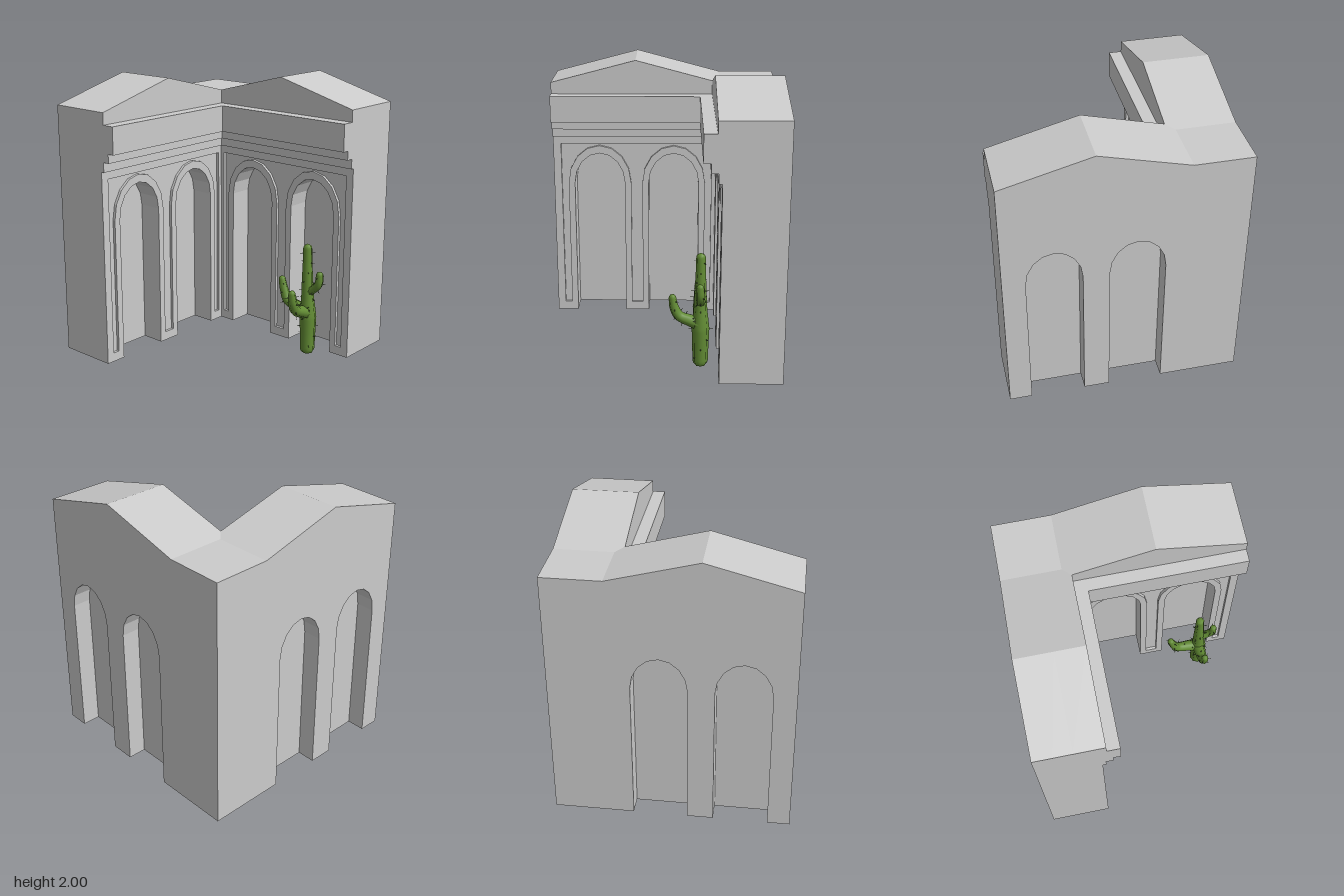
import * as THREE from 'three';
import { mergeVertices, mergeGeometries } from 'three/addons/utils/BufferGeometryUtils.js';

const END = 0.833;             // half length of the building
const ARCHES = [-0.078, 0.485]; // arch centres along a wing
const SPRING = 1.05;

const stone = new THREE.MeshStandardMaterial({ color: 0xcccccc, flatShading: true });
const green = new THREE.MeshStandardMaterial({ color: 0x628b34 });
const thorn = new THREE.MeshStandardMaterial({ color: 0x4c5a3c });

// Points of one arch, from its left foot over the crown to its right foot
function archPoints(cx, rx, ry, foot) {
  const pts = [[cx - rx, foot]];
  for (let i = 0; i <= 8; i++) {
    const a = Math.PI * (1 - i / 8);
    pts.push([cx + rx * Math.cos(a), SPRING + ry * Math.sin(a)]);
  }
  pts.push([cx + rx, foot]);
  return pts;
}

const toVectors = pts => pts.map(p => new THREE.Vector2(p[0], p[1]));
const openings = () => ARCHES.flatMap(c => archPoints(c, 0.191, 0.236, 0));

// Wall outline: bottom edge (with arches if wanted), then the top from right to left
function wallShape(u0, y0, top, arched) {
  return new THREE.Shape(toVectors([[u0, y0], ...(arched ? openings() : []), [END, y0], ...top]));
}
const flatTop = (u0, y) => [[END, y], [u0, y]];
const gableTop = [[END, 1.835], [0.205, 2], [-0.42, 1.835], [-END, 1.835]];

// Slab between depths a and b: wing 0 runs along x at the back, wing 1 runs along z at the side
function slab(shape, a, b, wing) {
  const geo = new THREE.ExtrudeGeometry(shape, { depth: b - a, bevelEnabled: false });
  if (wing === 0) return geo.translate(0, 0, a);
  return geo.translate(0, 0, -b).rotateY(-Math.PI / 2);
}

function buildWing(wing) {
  const group = new THREE.Group();
  const add = (name, shape, a, b) => {
    const mesh = new THREE.Mesh(slab(shape, a, b, wing), stone);
    mesh.name = name;
    group.add(mesh);
  };

  // Thin core with arched niches on both sides
  add('outerWall', wallShape(-END, 0, gableTop, true), -END, -0.7);
  add('coreWall', wallShape(-END, 0, gableTop, false), -0.7, -0.57);
  add('innerWall', wallShape(-END, 0, flatTop(-END, 1.75), true), -0.57, -0.415);
  add('roofEdge', wallShape(-END, 1.75, gableTop, false), -0.57, -0.36);

  // Raised facing with a sunken panel around the arch bands
  const facing = wallShape(-0.415, 0, flatTop(-0.415, 1.42), true);
  facing.holes.push(new THREE.Path(toVectors([
    [-0.365, 0.065],
    ...ARCHES.flatMap(c => archPoints(c, 0.239, 0.295, 0.065)),
    [0.775, 0.065], [0.775, 1.36], [-0.365, 1.36],
  ])));
  add('archFacing', facing, -0.415, -0.394);

  // Stepped cornice
  [[1.42, 1.49, -0.37], [1.49, 1.555, -0.32], [1.555, 1.75, -0.27]].forEach(([y0, y1, face]) => {
    add('corniceStep', wallShape(-0.5, y0, flatTop(-0.5, y1), false), -0.5, face);
  });
  return group;
}

// Ribbed, tapering stem with a round tip; thorns sit on its ribs
function buildStem(name, path, radii, segments, thornStep, roundBase) {
  const SIDES = 16;
  const curve = new THREE.CatmullRomCurve3(path.map(p => new THREE.Vector3(...p)));
  const length = curve.getLength();
  const geo = new THREE.TubeGeometry(curve, segments, 1, SIDES);
  const pos = geo.attributes.position;
  const v = new THREE.Vector3();
  const spikes = [];
  for (let i = 0; i <= segments; i++) {
    const u = i / segments;
    const centre = curve.getPointAt(u);
    const t = u * (radii.length - 1);
    const k = Math.min(Math.floor(t), radii.length - 2);
    const base = THREE.MathUtils.lerp(radii[k], radii[k + 1], t - k);
    const d = Math.min(base, (1 - u) * length, roundBase ? u * length + base * 0.3 : base);
    const r = Math.sqrt(Math.max(0, base * base - (base - d) ** 2));
    for (let j = 0; j <= SIDES; j++) {
      const n = i * (SIDES + 1) + j;
      v.fromBufferAttribute(pos, n).sub(centre);
      const out = v.clone();
      v.multiplyScalar(r * (j % 2 ? 0.88 : 1.03)).add(centre);
      pos.setXYZ(n, v.x, v.y, v.z);
      // One thorn every few rings, winding round the ribs
      if (i > 3 && i < segments - 1 && i % thornStep === 0 && j < SIDES
        && (j === (i / thornStep * 6) % SIDES || j === (i / thornStep * 6 + 8) % SIDES)) {
        const spike = new THREE.ConeGeometry(0.004, 0.03, 4).translate(0, 0.012, 0);
        spike.applyQuaternion(new THREE.Quaternion().setFromUnitVectors(
          new THREE.Vector3(0, 1, 0), out.normalize()));
        spikes.push(spike.translate(v.x, v.y, v.z));
      }
    }
  }
  geo.deleteAttribute('uv');
  geo.deleteAttribute('normal');
  const skin = mergeVertices(geo, 1e-5);
  skin.computeVertexNormals();
  const group = new THREE.Group();
  group.name = name;
  const stem = new THREE.Mesh(skin, green);
  stem.name = name + 'Skin';
  const thorns = new THREE.Mesh(mergeGeometries(spikes), thorn);
  thorns.name = name + 'Thorns';
  group.add(stem, thorns);
  return group;
}

function buildCactus() {
  const cactus = new THREE.Group();
  cactus.name = 'cactus';
  cactus.add(
    buildStem('trunk',
      [[0.563, 0.01, -0.272], [0.563, 0.3, -0.272], [0.555, 0.5, -0.27], [0.548, 0.845, -0.27]],
      [0.052, 0.055, 0.06, 0.046, 0.04, 0.034, 0.031], 60, 5, true),
    buildStem('sideArm',
      [[0.55, 0.325, -0.27], [0.47, 0.35, -0.265], [0.385, 0.38, -0.26], [0.35, 0.45, -0.26], [0.322, 0.555, -0.26]],
      [0.05, 0.042, 0.036, 0.03, 0.023], 36, 6, false),
    buildStem('shortArm',
      [[0.555, 0.48, -0.27], [0.61, 0.515, -0.27], [0.655, 0.56, -0.265], [0.665, 0.66, -0.265]],
      [0.034, 0.03, 0.029, 0.024], 30, 6, false),
    buildStem('frontArm',
      [[0.56, 0.325, -0.26], [0.56, 0.35, -0.19], [0.56, 0.38, -0.125], [0.562, 0.44, -0.09], [0.562, 0.545, -0.072]],
      [0.05, 0.042, 0.036, 0.03, 0.023], 36, 6, false),
  );
  return cactus;
}

export function createModel() {
  const model = new THREE.Group();
  model.name = 'archedCornerBuilding';
  ['backWing', 'sideWing'].forEach((name, i) => {
    const wing = buildWing(i);
    wing.name = name;
    model.add(wing);
  });
  model.add(buildCactus());
  return model;
}
